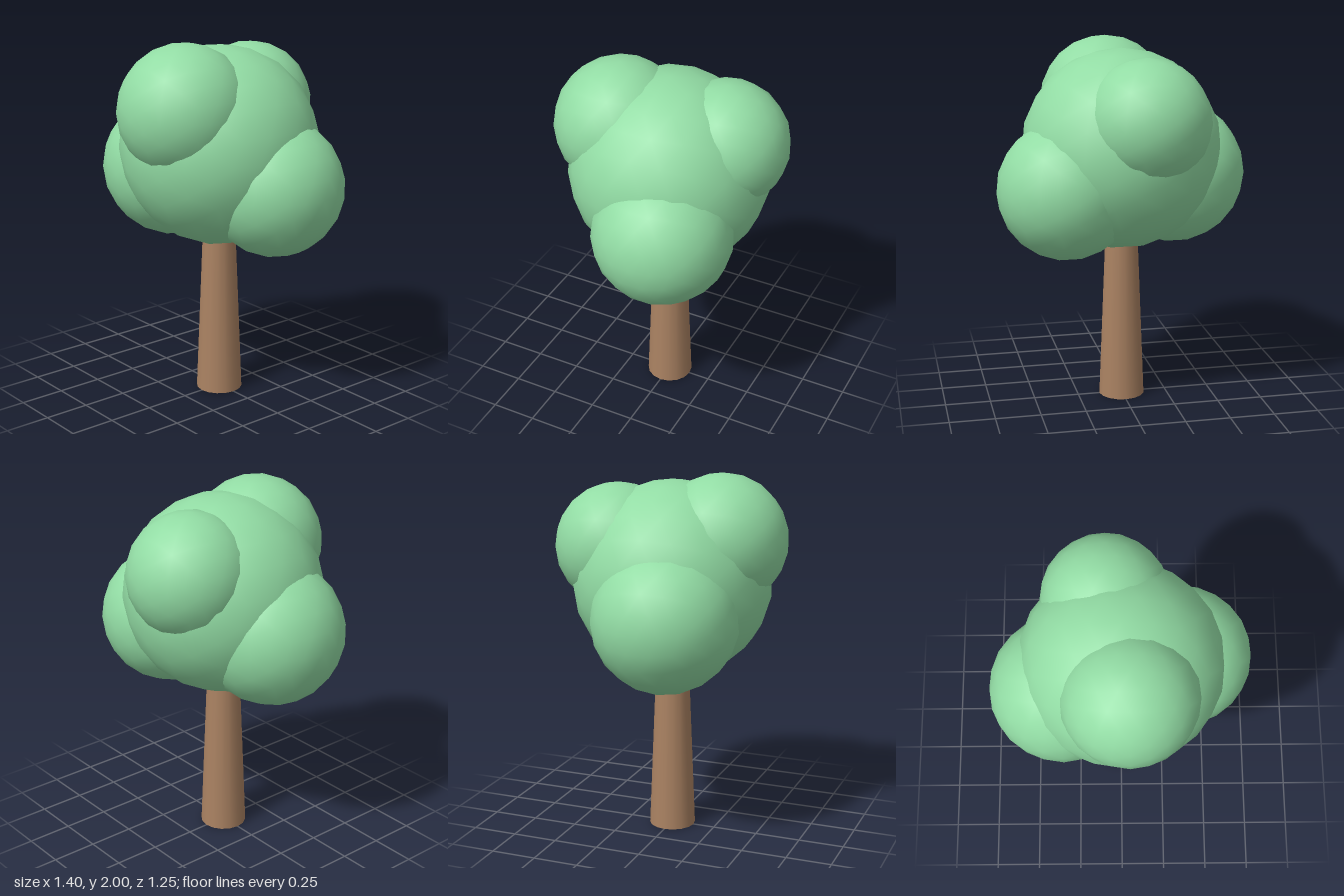
import * as THREE from 'three';

export function createModel() {
  const tree = new THREE.Group();
  tree.name = 'tree';
  const bark = new THREE.MeshStandardMaterial({ color: 0xaa8262 });
  const leaf = new THREE.MeshStandardMaterial({ color: 0x92dca4 });

  // Tapered trunk, its top buried in the crown
  const height = 1.0;
  const trunk = new THREE.Mesh(new THREE.CylinderGeometry(0.088, 0.128, height, 16), bark);
  trunk.name = 'trunk';
  trunk.position.y = height / 2;
  tree.add(trunk);

  // Crown of overlapping smooth icospheres: name, radius, centre
  const clumps = [
    ['crownCore', 0.545, 0, 1.415, 0],
    ['crownFront', 0.36, 0.04, 1.64, 0.267],
    ['crownBack', 0.34, -0.08, 1.6, -0.287],
    ['crownRight', 0.395, -0.307, 1.26, 0.077],
    ['crownLeft', 0.377, 0.323, 1.222, -0.118],
  ];
  for (const [name, radius, x, y, z] of clumps) {
    const clump = new THREE.Mesh(new THREE.IcosahedronGeometry(radius, 3), leaf);
    clump.name = name;
    clump.position.set(x, y, z);
    tree.add(clump);
  }
  return tree;
}
